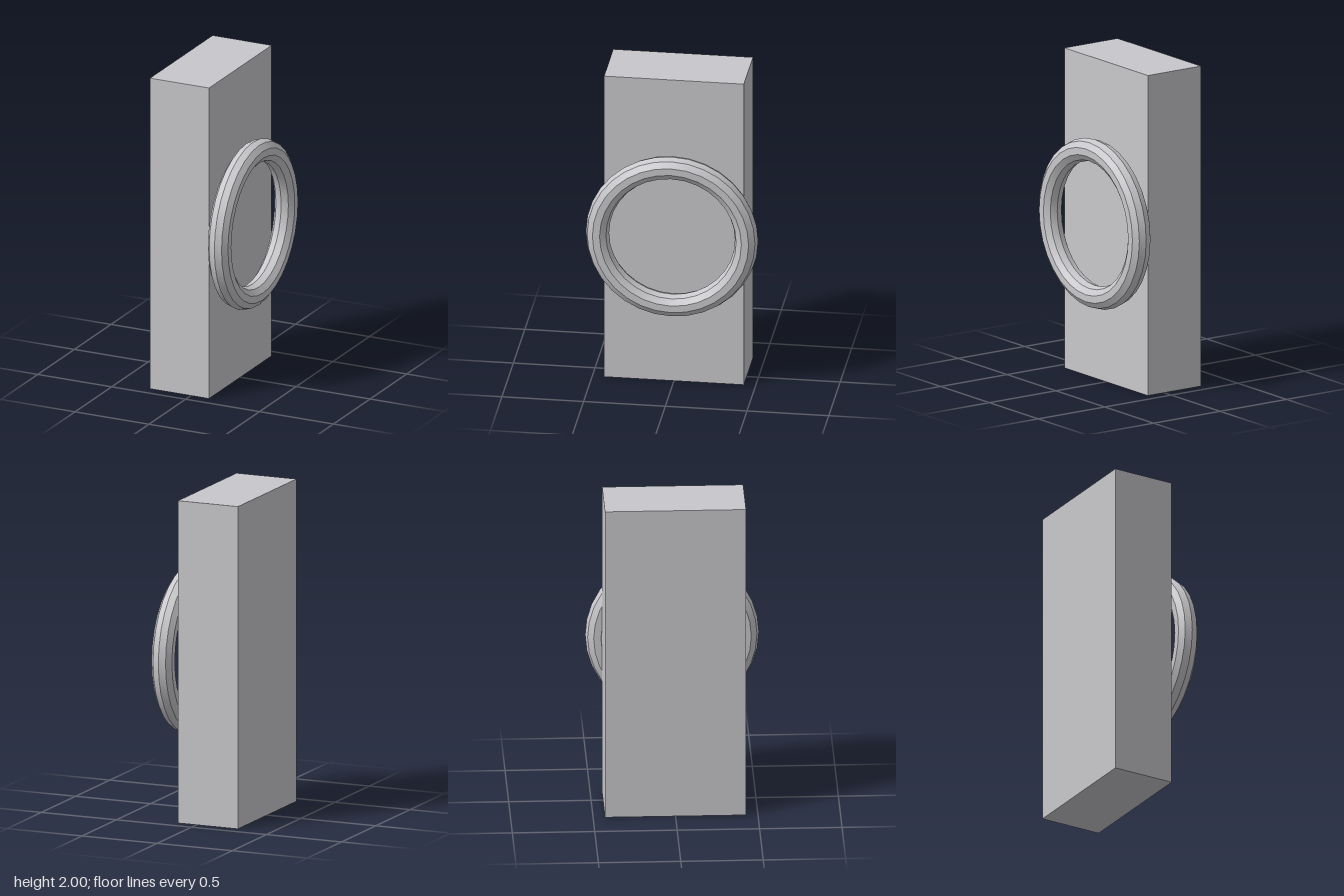
import * as THREE from 'three';
import { toCreasedNormals } from 'three/addons/utils/BufferGeometryUtils.js';

export function createModel() {
  const model = new THREE.Group();
  const grey = new THREE.MeshStandardMaterial({ color: 0xc8c8cc });
  grey.name = 'light grey';

  // Tall upright block
  const block = new THREE.Mesh(new THREE.BoxGeometry(0.399, 2, 0.855), grey);
  block.name = 'block';
  block.position.set(-0.077, 1, 0);

  // Ten-sided ring standing just off the block's left face, smooth around its circle
  const torus = new THREE.TorusGeometry(0.456, 0.0712, 10, 32).rotateY(Math.PI / 2);
  const ring = new THREE.Mesh(toCreasedNormals(torus, 0.4), grey);
  ring.name = 'ring';
  ring.position.set(0.208, 1, 0);

  model.add(block, ring);
  return model;
}
